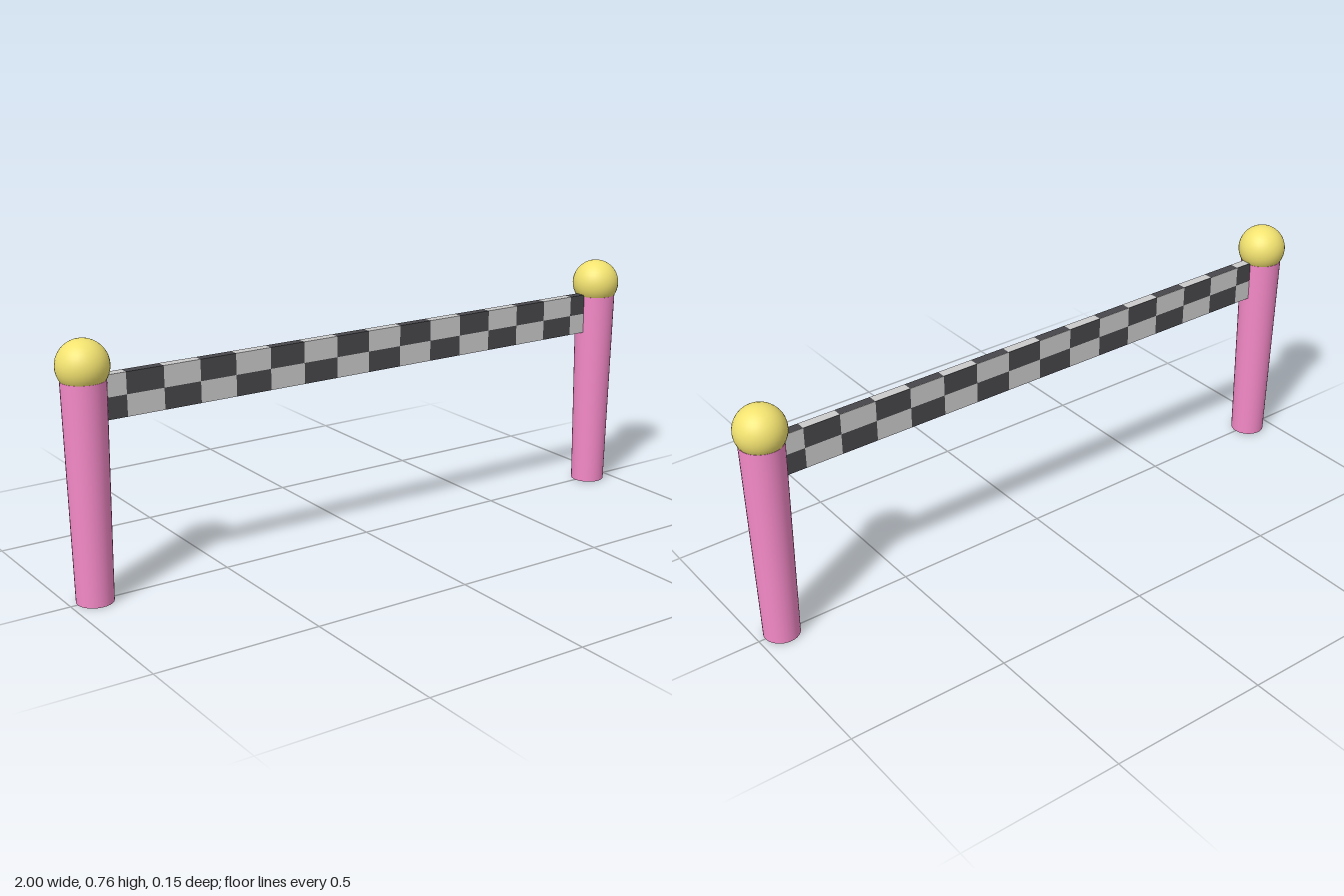
import * as THREE from 'three';

const paint = (color) => new THREE.MeshStandardMaterial({ color });

export function createModel() {
  const model = new THREE.Group();
  model.name = 'finishGate';
  const pink = paint(0xf58ac8);
  const yellow = paint(0xf2e270);
  const light = paint(0xcccccc);
  const dark = paint(0x48484c);

  const add = (parent, name, geometry, material, x, y, z) => {
    const mesh = new THREE.Mesh(geometry, material);
    mesh.name = name;
    mesh.position.set(x, y, z);
    parent.add(mesh);
  };

  // Tapered posts, wider at the top, each with a ball finial
  const postHeight = 0.645;
  const postGeometry = new THREE.CylinderGeometry(0.064, 0.054, postHeight, 32);
  const ballGeometry = new THREE.SphereGeometry(0.075, 32, 20);
  for (const [side, x] of [['left', 0.925], ['right', -0.925]]) {
    add(model, side + 'Post', postGeometry, pink, x, postHeight / 2, 0);
    add(model, side + 'Ball', ballGeometry, yellow, x, 0.685, 0);
  }

  // Chequered banner: two rows of cells, with a thin skin at the back whose
  // pattern starts with a light top cell as seen from behind
  const banner = new THREE.Group();
  banner.name = 'banner';
  model.add(banner);
  const columns = 16, cellWidth = 0.115, cellHeight = 0.064;
  const bottom = 0.524, depth = 0.03, skin = 0.001;
  const frontCell = new THREE.BoxGeometry(cellWidth, cellHeight, depth - skin);
  const backCell = new THREE.BoxGeometry(cellWidth, cellHeight, skin);
  for (let row = 0; row < 2; row++) {
    for (let i = 0; i < columns; i++) {
      const x = (i + 0.5 - columns / 2) * cellWidth;
      const y = bottom + (row + 0.5) * cellHeight;
      const isDark = (i + row) % 2 === 0;
      add(banner, 'frontCell', frontCell, isDark ? dark : light, x, y, skin / 2);
      add(banner, 'backCell', backCell, isDark ? light : dark, x, y, (skin - depth) / 2);
    }
  }

  return model;
}
